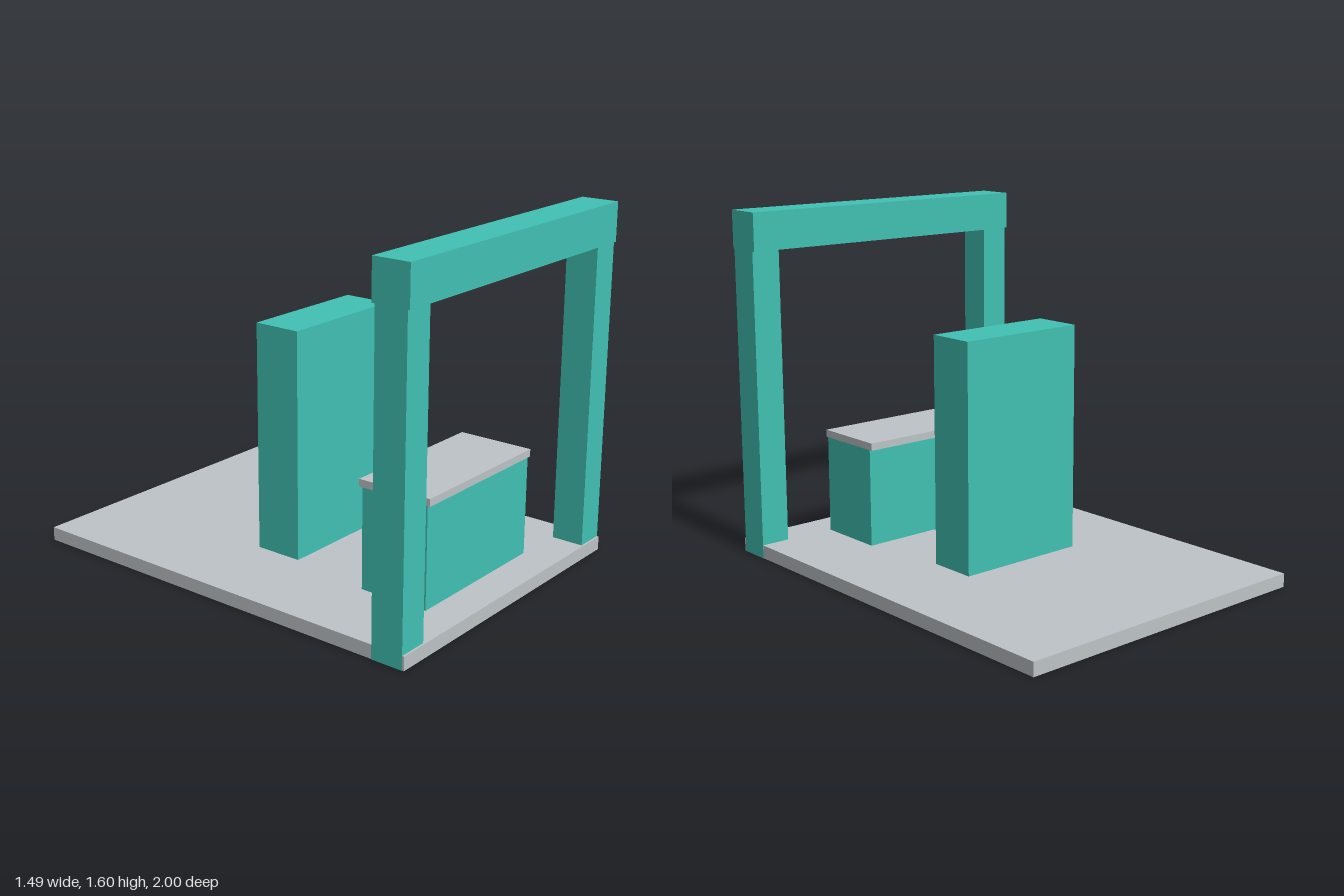
import * as THREE from 'three';

export function createModel() {
  const model = new THREE.Group();
  model.name = 'gatewayBooth';

  const teal = new THREE.MeshStandardMaterial({ color: 0x41c1b3 });
  teal.name = 'teal';
  const grey = new THREE.MeshStandardMaterial({ color: 0xbdc3c7 });
  grey.name = 'light grey';

  // Box given by its extents along each axis
  function block(name, material, [x0, x1], [y0, y1], [z0, z1]) {
    const mesh = new THREE.Mesh(new THREE.BoxGeometry(x1 - x0, y1 - y0, z1 - z0), material);
    mesh.position.set((x0 + x1) / 2, (y0 + y1) / 2, (z0 + z1) / 2);
    mesh.name = name;
    model.add(mesh);
  }

  // Floor, a hair above the feet of the posts and counter, which pass through it
  block('floor', grey, [-0.745, 0.745], [0.001, 0.063], [-1, 1]);

  // Entrance gate: two posts and a slightly deeper beam
  block('leftPost', teal, [0.608, 0.746], [0, 1.425], [0.843, 0.991]);
  block('rightPost', teal, [-0.746, -0.608], [0, 1.425], [0.843, 0.991]);
  block('beam', teal, [-0.746, 0.746], [1.425, 1.6], [0.828, 1]);

  // Counter with an overhanging top
  block('counter', teal, [-0.373, 0.373], [0, 0.519], [0.507, 0.834]);
  block('counterTop', grey, [-0.374, 0.374], [0.519, 0.553], [0.49, 0.845]);

  // Tall cabinet in the middle of the floor
  block('cabinet', teal, [-0.315, 0.312], [0.03, 1.1], [-0.115, 0.11]);

  return model;
}
